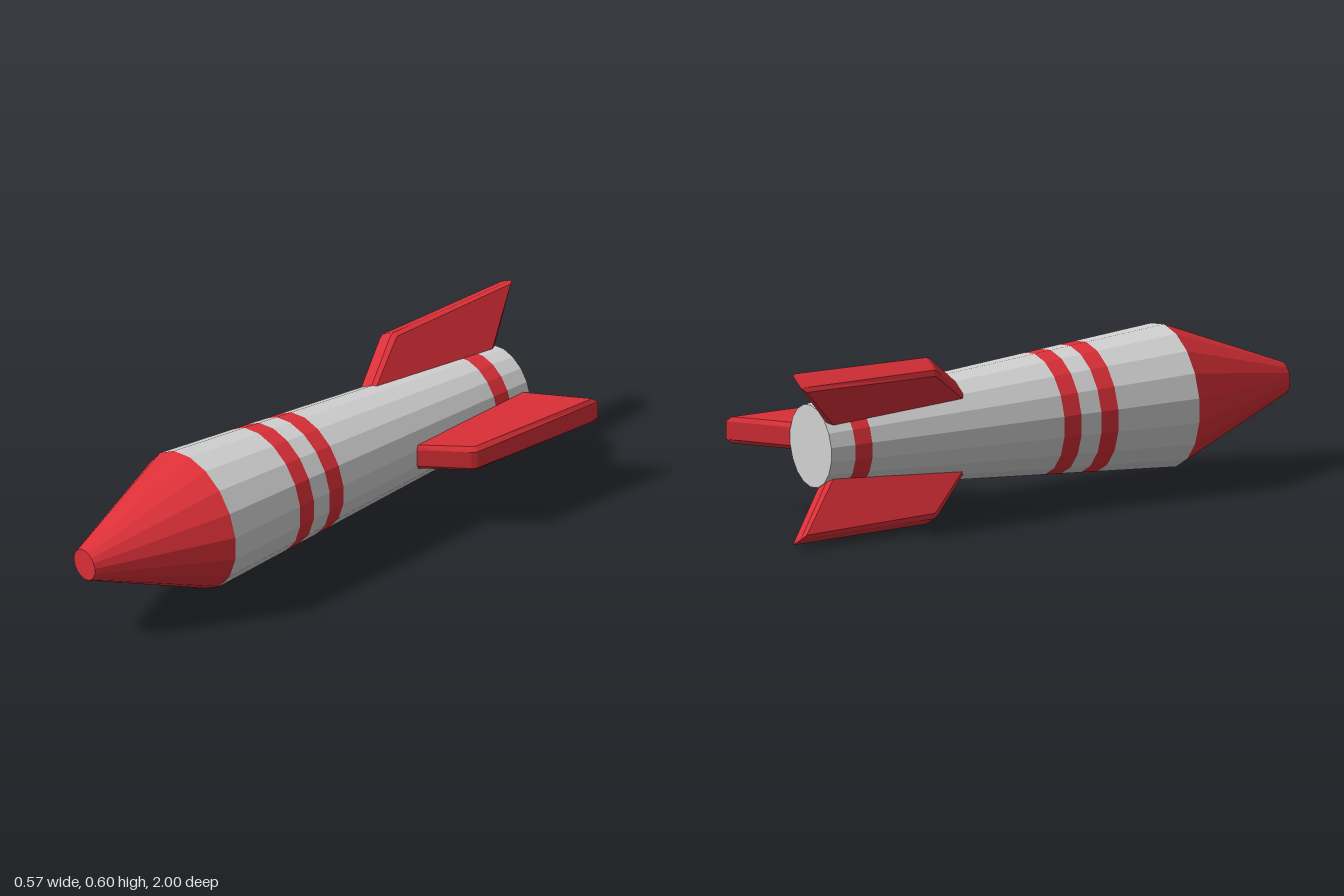
import * as THREE from 'three';

const AXIS_X = -0.041, AXIS_Y = 0.3;
const SIDES = 18;
const NOSE_Z = 0.535, TAIL_Z = -0.852;
const NOSE_R = 0.25, TAIL_R = 0.145;

// Body radius tapers evenly from the nose joint to the tail
const radiusAt = z => THREE.MathUtils.mapLinear(z, TAIL_Z, NOSE_Z, TAIL_R, NOSE_R);

// Faceted ring section along z, from [radius, z] points listed back to front
function section(name, points, material) {
  const lathe = new THREE.LatheGeometry(points.map(([r, z]) => new THREE.Vector2(r, z)), SIDES);
  const geometry = lathe.toNonIndexed();
  geometry.rotateX(Math.PI / 2);
  geometry.computeVertexNormals();
  const mesh = new THREE.Mesh(geometry, material);
  mesh.name = name;
  return mesh;
}

export function createModel() {
  const red = new THREE.MeshStandardMaterial({ color: 0xdc3038 });
  red.name = 'red';
  const grey = new THREE.MeshStandardMaterial({ color: 0xd2d2d2 });
  grey.name = 'light grey';

  const model = new THREE.Group();
  model.name = 'rocket';
  const rocket = new THREE.Group();
  rocket.name = 'rocketBody';
  rocket.position.set(AXIS_X, AXIS_Y, 0);
  model.add(rocket);

  // Hull: alternating grey bands and red stripes
  const cuts = [TAIL_Z, -0.761, -0.697, 0.027, 0.091, 0.166, 0.23, NOSE_Z];
  for (let i = 0; i < cuts.length - 1; i++) {
    const points = [cuts[i], cuts[i + 1]].map(z => [radiusAt(z), z]);
    if (i === 0) points.unshift([0, TAIL_Z]); // closed tail
    const stripe = i % 2 === 1;
    rocket.add(section(stripe ? 'stripe' : 'hullBand', points, stripe ? red : grey));
  }

  // Blunt nose cone
  rocket.add(section('noseCone', [[NOSE_R, NOSE_Z], [0.057, 1], [0, 1]], red));

  // Three swept fins with bevelled edges, rooted inside the hull
  const outline = new THREE.Shape([
    [0.1, -0.813], [0.328, -1], [0.322, -0.472], [0.312, -0.455], [0.1, -0.235],
  ].map(([r, z]) => new THREE.Vector2(r, z)));
  const finGeometry = new THREE.ExtrudeGeometry(outline, {
    depth: 0.064, bevelThickness: 0.015, bevelSize: 0.015, bevelOffset: -0.015, bevelSegments: 1,
  });
  finGeometry.translate(0, 0, -0.032);
  finGeometry.rotateX(Math.PI / 2);
  ['leftFin', 'upperRightFin', 'lowerRightFin'].forEach((name, i) => {
    const fin = new THREE.Mesh(finGeometry, red);
    fin.name = name;
    fin.rotation.z = i * Math.PI * 2 / 3;
    rocket.add(fin);
  });

  return model;
}
